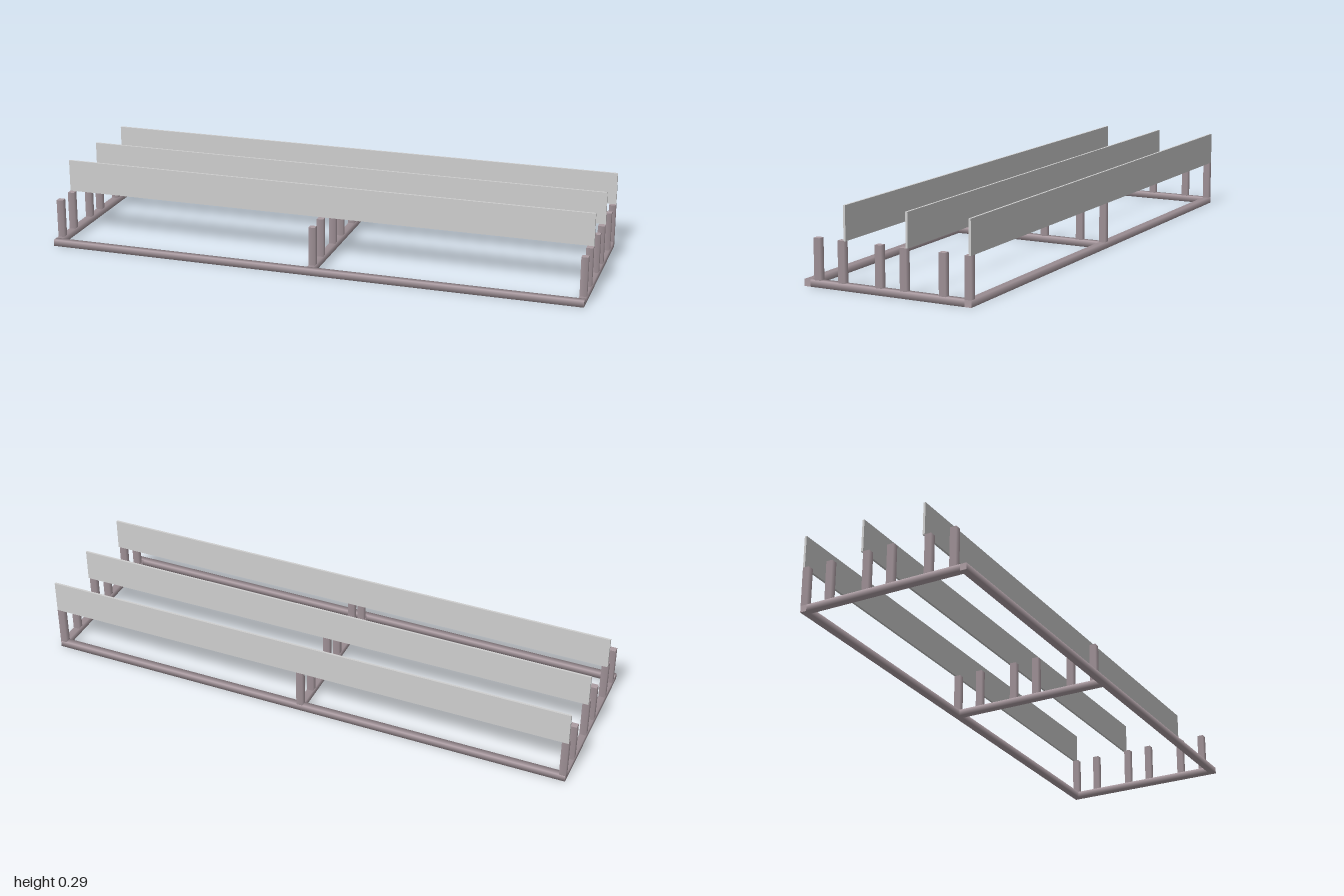
import * as THREE from 'three';

export function createModel() {
  const group = new THREE.Group();
  const steel = new THREE.MeshStandardMaterial({ color: 0xab9ca2 });
  steel.name = 'warm grey steel';
  const panelGrey = new THREE.MeshStandardMaterial({ color: 0xcfcfcf });
  panelGrey.name = 'light panel grey';

  const T = 0.024; // square tube width
  const HALF_Z = 0.319;

  // Square tube with softened shading, running along the given axis
  function tube(name, length, axis, x, y, z) {
    const r = T / Math.SQRT2;
    const geo = new THREE.CylinderGeometry(r, r, length, 4);
    geo.rotateY(Math.PI / 4);
    if (axis === 'x') geo.rotateZ(Math.PI / 2);
    if (axis === 'z') geo.rotateX(Math.PI / 2);
    const mesh = new THREE.Mesh(geo, steel);
    mesh.name = name;
    mesh.position.set(x, y, z);
    group.add(mesh);
  }

  // Base frame: long rails front and back
  tube('frontRail', 2, 'x', 0, T / 2, HALF_Z - T / 2);
  tube('backRail', 2, 'x', 0, T / 2, -HALF_Z + T / 2);

  // Cross rails, each carrying a row of upright posts
  const postZ = [0.267, 0.172, 0.028, -0.066, -0.212, -0.307];
  const top = 0.168;
  for (const x of [-1 + T / 2, 0.005, 1 - T / 2]) {
    tube('crossRail', 2 * (HALF_Z - T), 'z', x, T / 2, 0);
    for (const z of postZ) tube('post', top - T, 'y', x, (top + T) / 2, z);
  }

  // Upright panels resting on every second post
  for (const z of [0.156, -0.082, -0.315]) {
    const panel = new THREE.Mesh(new THREE.BoxGeometry(2, 0.12, 0.008), panelGrey);
    panel.name = 'panel';
    panel.position.set(0, top + 0.06, z);
    group.add(panel);
  }
  return group;
}
